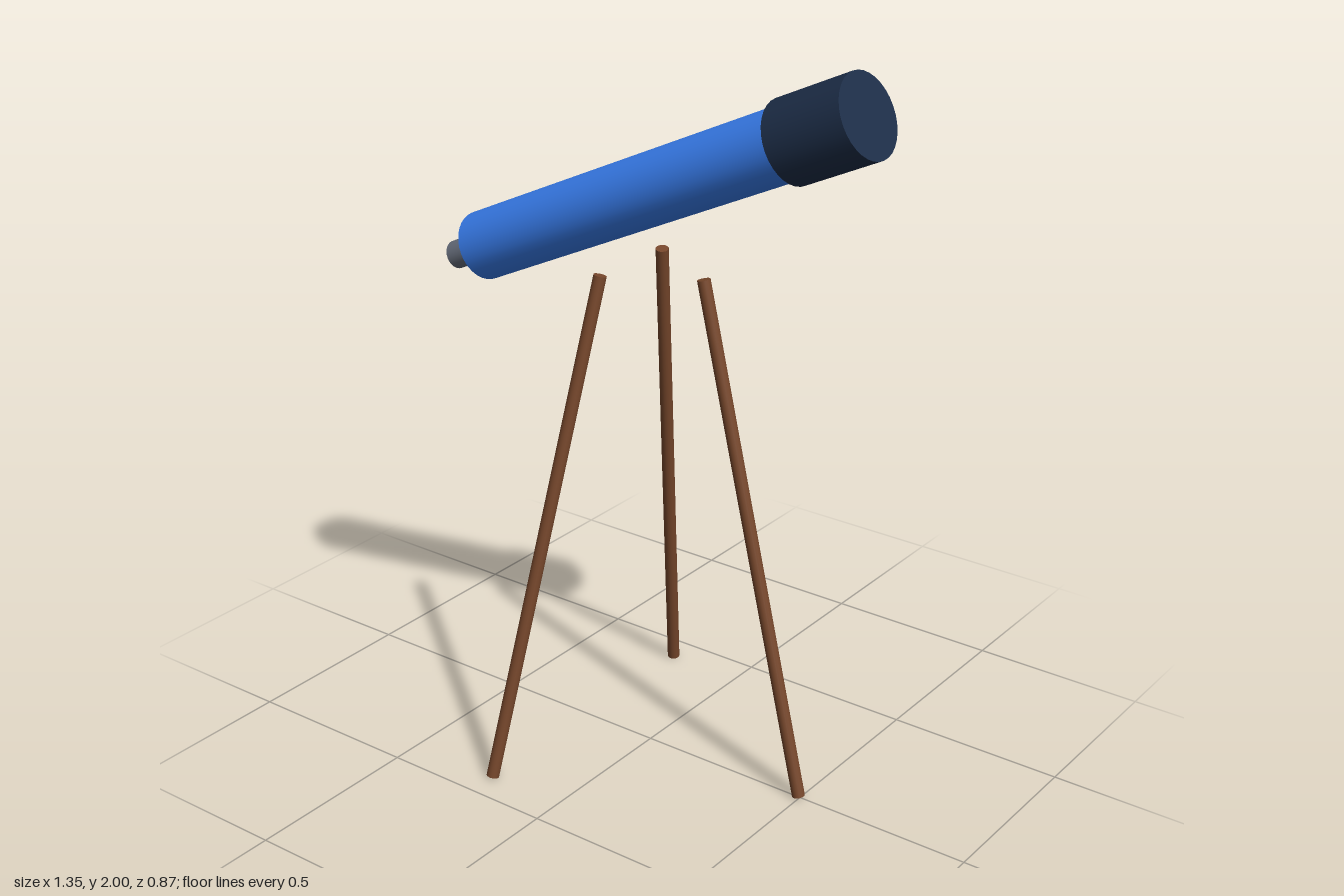
import * as THREE from 'three';

const material = (color) => new THREE.MeshStandardMaterial({ color });

// Closed cylinder running between two points
function rod(name, from, to, radius, sides, mat) {
  const axis = to.clone().sub(from);
  const mesh = new THREE.Mesh(new THREE.CylinderGeometry(radius, radius, axis.length(), sides), mat);
  mesh.position.copy(from).add(to).multiplyScalar(0.5);
  mesh.quaternion.setFromUnitVectors(new THREE.Vector3(0, 1, 0), axis.normalize());
  mesh.name = name;
  return mesh;
}

export function createModel() {
  const model = new THREE.Group();
  model.name = 'telescope';

  // Optical assembly, laid along local x from the back of the main tube
  const optics = new THREE.Group();
  optics.name = 'opticalTube';
  optics.position.set(-0.563, 1.342, 0);
  optics.rotation.z = THREE.MathUtils.degToRad(25.1);
  const along = (x) => new THREE.Vector3(x, 0, 0);
  optics.add(
    rod('mainTube', along(0), along(1.2), 0.094, 32, material(0x3b82f6)),
    rod('dewShield', along(1.082), along(1.316), 0.11, 32, material(0x1e2f4a)),
    rod('eyepiece', along(-0.11), along(0.01), 0.039, 24, material(0x6b7280))
  );
  model.add(optics);

  // Three splayed legs around the tripod axis
  const wood = material(0x78482c);
  const tripod = new THREE.Group();
  tripod.name = 'tripod';
  tripod.position.x = 0.015;
  for (let i = 0; i < 3; i++) {
    const a = (i * Math.PI * 2) / 3;
    const at = (r, y) => new THREE.Vector3(r * Math.cos(a), y, r * Math.sin(a));
    tripod.add(rod('leg' + (i + 1), at(0.48, 0.004), at(0.152, 1.4), 0.0175, 16, wood));
  }
  model.add(tripod);

  return model;
}
